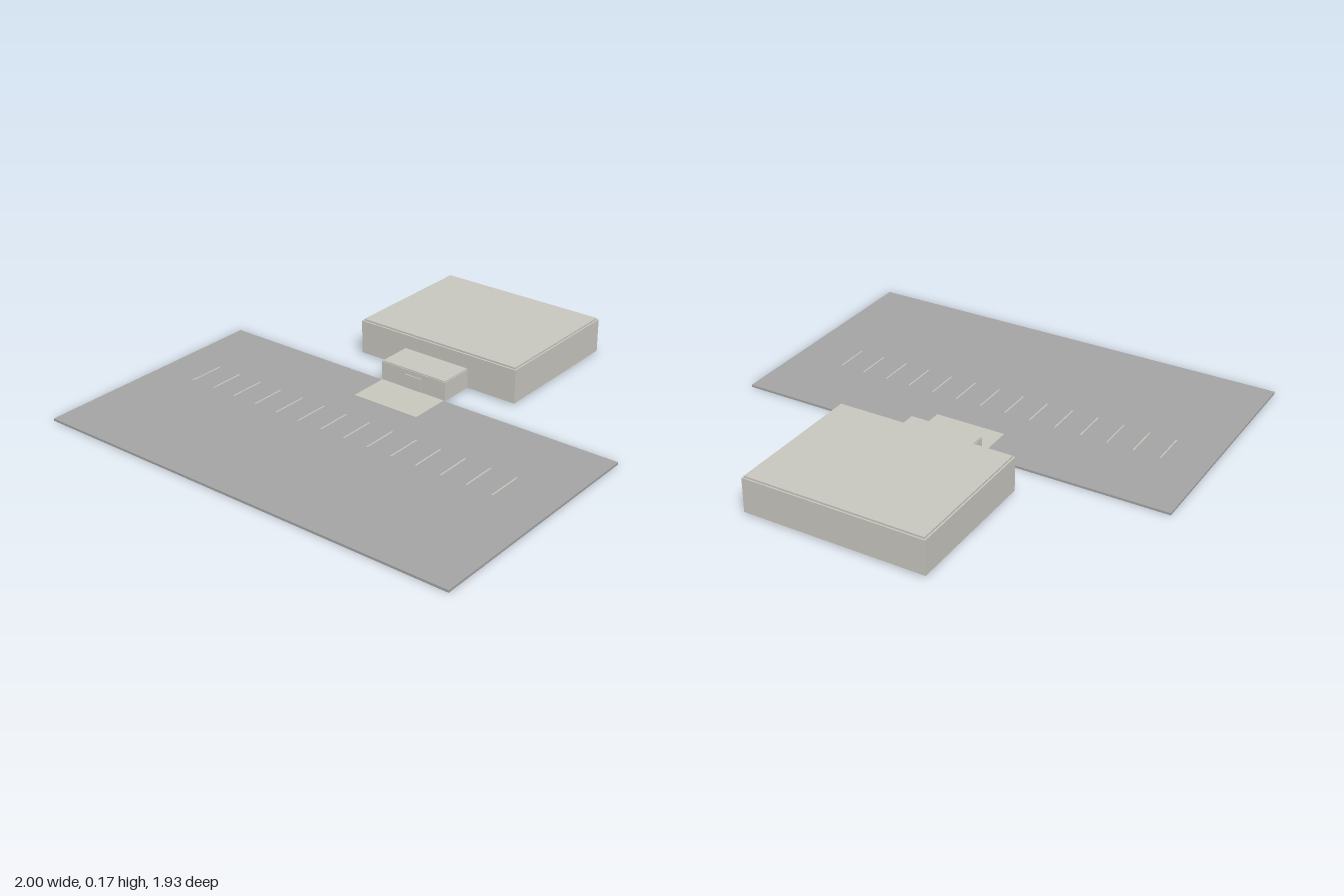
import * as THREE from 'three';

const concrete = new THREE.MeshStandardMaterial({ name: 'pale concrete', color: 0xc9c7c0 });
const asphalt = new THREE.MeshStandardMaterial({ name: 'grey asphalt', color: 0xa5a5a5 });
const paving = new THREE.MeshStandardMaterial({ name: 'light paving', color: 0xc9c8bf });

// Box given by its minimum and maximum on each axis
function block(parent, name, material, [x0, x1], [y0, y1], [z0, z1]) {
  const mesh = new THREE.Mesh(new THREE.BoxGeometry(x1 - x0, y1 - y0, z1 - z0), material);
  mesh.position.set((x0 + x1) / 2, (y0 + y1) / 2, (z0 + z1) / 2);
  mesh.name = name;
  parent.add(mesh);
}

export function createModel() {
  const model = new THREE.Group();
  model.name = 'buildingWithCarPark';
  const ground = 0.01;

  // Car park slab and entrance apron
  block(model, 'carPark', asphalt, [-1, 1], [0, ground], [-0.145, 0.965]);
  block(model, 'entranceApron', paving, [-0.165, 0.16], [ground, 0.013], [-0.145, 0.045]);

  // Painted parking bay lines
  const bays = new THREE.Group();
  bays.name = 'parkingLines';
  model.add(bays);
  for (let i = 0; i < 14; i++) {
    const x = -0.8 + i * 0.12;
    block(bays, 'parkingLine', paving, [x - 0.003, x + 0.003], [ground, 0.013], [0.2, 0.365]);
  }

  // Main hall with a slightly inset roof slab
  const hall = new THREE.Group();
  hall.name = 'mainHall';
  model.add(hall);
  block(hall, 'hallWalls', concrete, [-0.41, 0.405], [ground, 0.163], [-0.965, -0.308]);
  block(hall, 'hallRoof', concrete, [-0.403, 0.398], [0.163, 0.171], [-0.958, -0.316]);

  // Entrance lobby with its roof and door
  const lobby = new THREE.Group();
  lobby.name = 'entranceLobby';
  model.add(lobby);
  block(lobby, 'lobbyWalls', concrete, [-0.17, 0.165], [ground, 0.095], [-0.308, -0.148]);
  block(lobby, 'lobbyRoof', concrete, [-0.167, 0.162], [0.095, 0.1], [-0.308, -0.151]);
  block(lobby, 'door', concrete, [-0.045, 0.04], [ground, 0.075], [-0.148, -0.143]);

  return model;
}
